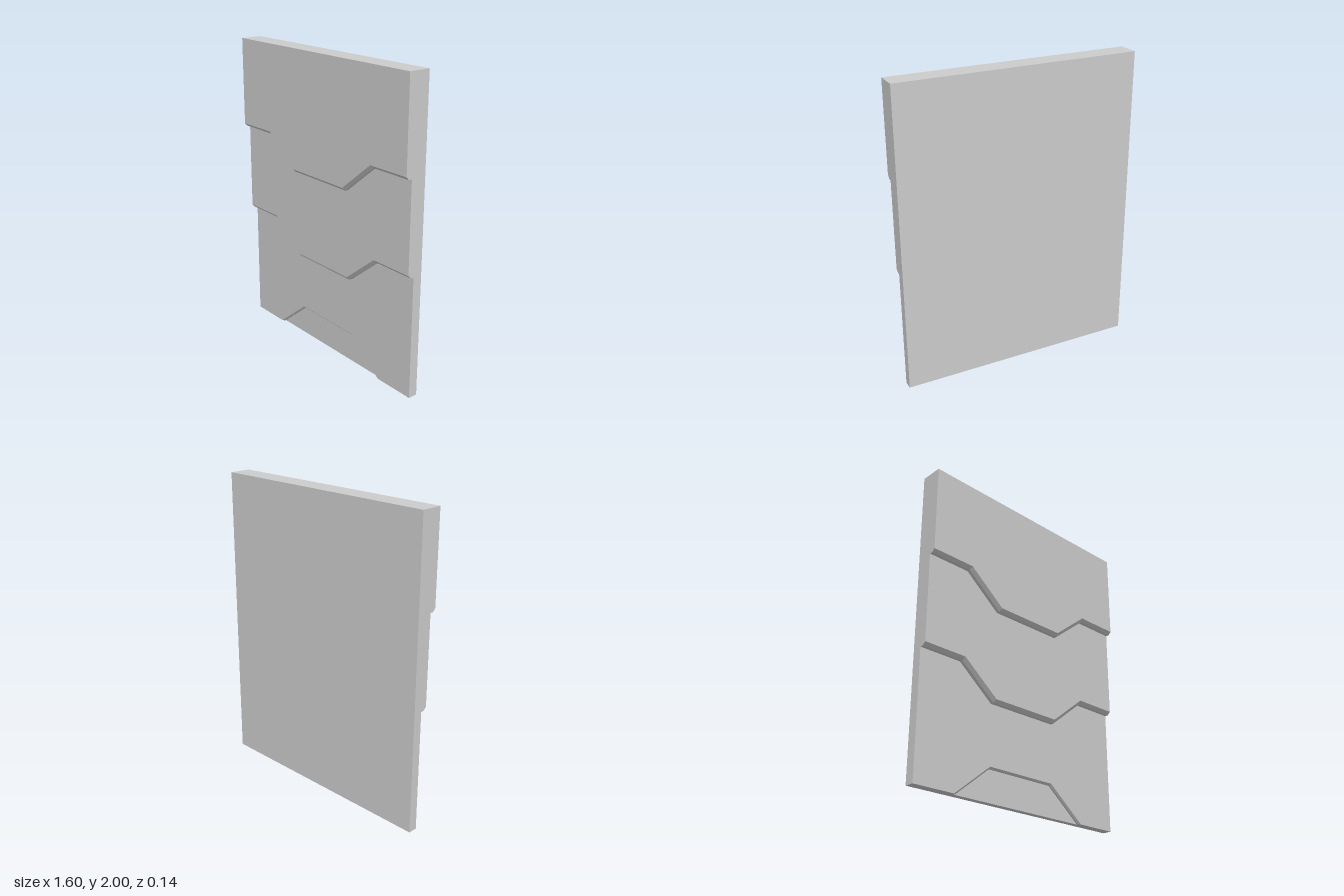
import * as THREE from 'three';

const W = 0.8, TOP = 2;
const material = new THREE.MeshStandardMaterial({ color: 0xcccccc, flatShading: true });

// Joins matching counter-clockwise outlines [z, points] into a closed solid
function loft(name, sections) {
  const pos = [];
  const add = (z, p) => pos.push(p.x, p.y, z);
  for (let s = 0; s < sections.length - 1; s++) {
    const [z0, a] = sections[s], [z1, b] = sections[s + 1];
    a.forEach((p, i) => {
      const j = (i + 1) % a.length;
      add(z0, p); add(z0, a[j]); add(z1, b[j]);
      add(z0, p); add(z1, b[j]); add(z1, b[i]);
    });
  }
  const cap = ([z, pts], flip) => {
    for (const [i, j, k] of THREE.ShapeUtils.triangulateShape(pts, [])) {
      for (const n of flip ? [i, k, j] : [i, j, k]) add(z, pts[n]);
    }
  };
  cap(sections[0], true);
  cap(sections[sections.length - 1], false);
  const geometry = new THREE.BufferGeometry();
  geometry.setAttribute('position', new THREE.Float32BufferAttribute(pos, 3));
  geometry.computeVertexNormals();
  const mesh = new THREE.Mesh(geometry, material);
  mesh.name = name;
  return mesh;
}

// Mirrors a left-hand lower edge and closes it along the top of the panel
function outline(edge) {
  const left = edge.map(([x, y]) => new THREE.Vector2(x, y));
  const right = left.map(p => new THREE.Vector2(-p.x, p.y)).reverse();
  return [...left, ...right, new THREE.Vector2(W, TOP), new THREE.Vector2(-W, TOP)];
}

// Stepped lower edge, raised by d for the front of its chamfer
const stepped = (y, d) => outline([
  [-W, y + 0.2 + d], [-0.507 + d * 0.35, y + 0.2 + d],
  [-0.257 + d * 0.35, y + d], 
]);

// Straight lower edge with a trapezoid recess, widened by d
const recessed = d => outline([
  [-W, 0], [-0.5 - d * 1.6, 0], [-0.25 - d * 0.35, 0.2 + d],
]);

export function createModel() {
  const group = new THREE.Group();
  group.name = 'layeredPanel';
  const back = -0.072, floor = -0.031, low = -0.011, mid = 0.031, front = 0.072;
  const chamfer = 0.02;

  // Full backing board, visible in the bottom recess
  const board = outline([[-W, 0]]);
  group.add(loft('backingBoard', [[back, board], [floor, board]]));

  // Lower plate with the chamfered trapezoid recess
  group.add(loft('lowerPlate', [
    [floor, recessed(0)], [low - 0.01, recessed(0)], [low, recessed(0.01)],
  ]));

  // Two overlapping plates with chamfered stepped edges
  for (const [name, y, z0, z1] of [['middlePlate', 0.6, low, mid], ['upperPlate', 1.2, mid, front]]) {
    group.add(loft(name, [
      [z0, stepped(y, 0)], [z1 - chamfer, stepped(y, 0)], [z1, stepped(y, chamfer)],
    ]));
  }
  return group;
}
